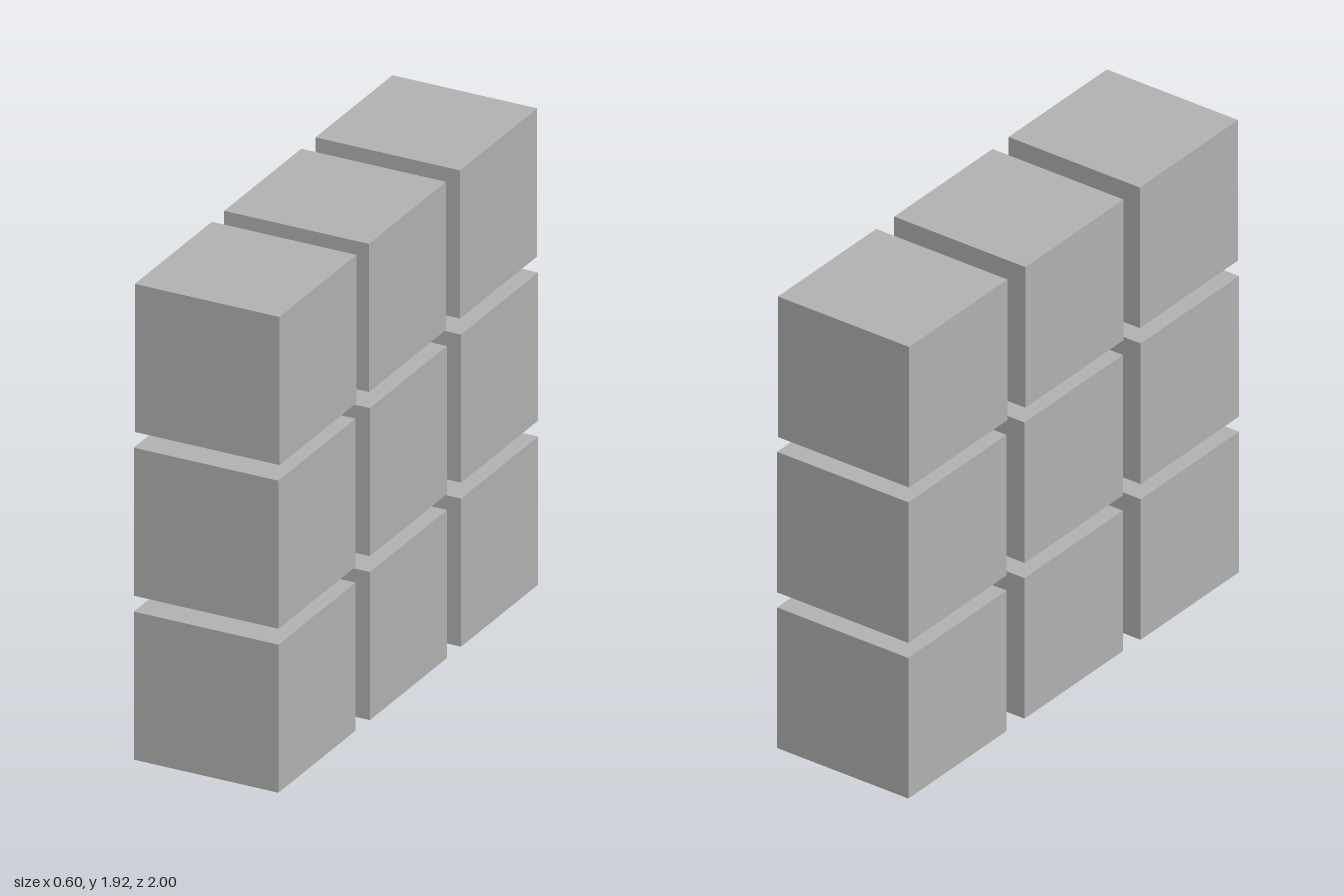
import * as THREE from 'three';

export function createModel() {
  const group = new THREE.Group();
  const grey = new THREE.MeshStandardMaterial({ color: 0xb2b2b2 });
  grey.name = 'grey';

  // One cube shape shared by a three by three upright grid
  const size = 0.596;
  const cube = new THREE.BoxGeometry(size, size, size);
  const rows = ['bottom', 'middle', 'top'];
  const columns = [['Front', 0.702], ['Centre', 0.003], ['Back', -0.702]];

  rows.forEach((row, i) => {
    for (const [column, z] of columns) {
      const mesh = new THREE.Mesh(cube, grey);
      mesh.name = `${row}${column}Cube`;
      // Slight sideways stagger between the cubes
      const frontCube = column === 'Front';
      const x = frontCube === (row === 'top') ? 0.001 : -0.003;
      mesh.position.set(x, size / 2 + i * 0.66, z);
      group.add(mesh);
    }
  });
  return group;
}
